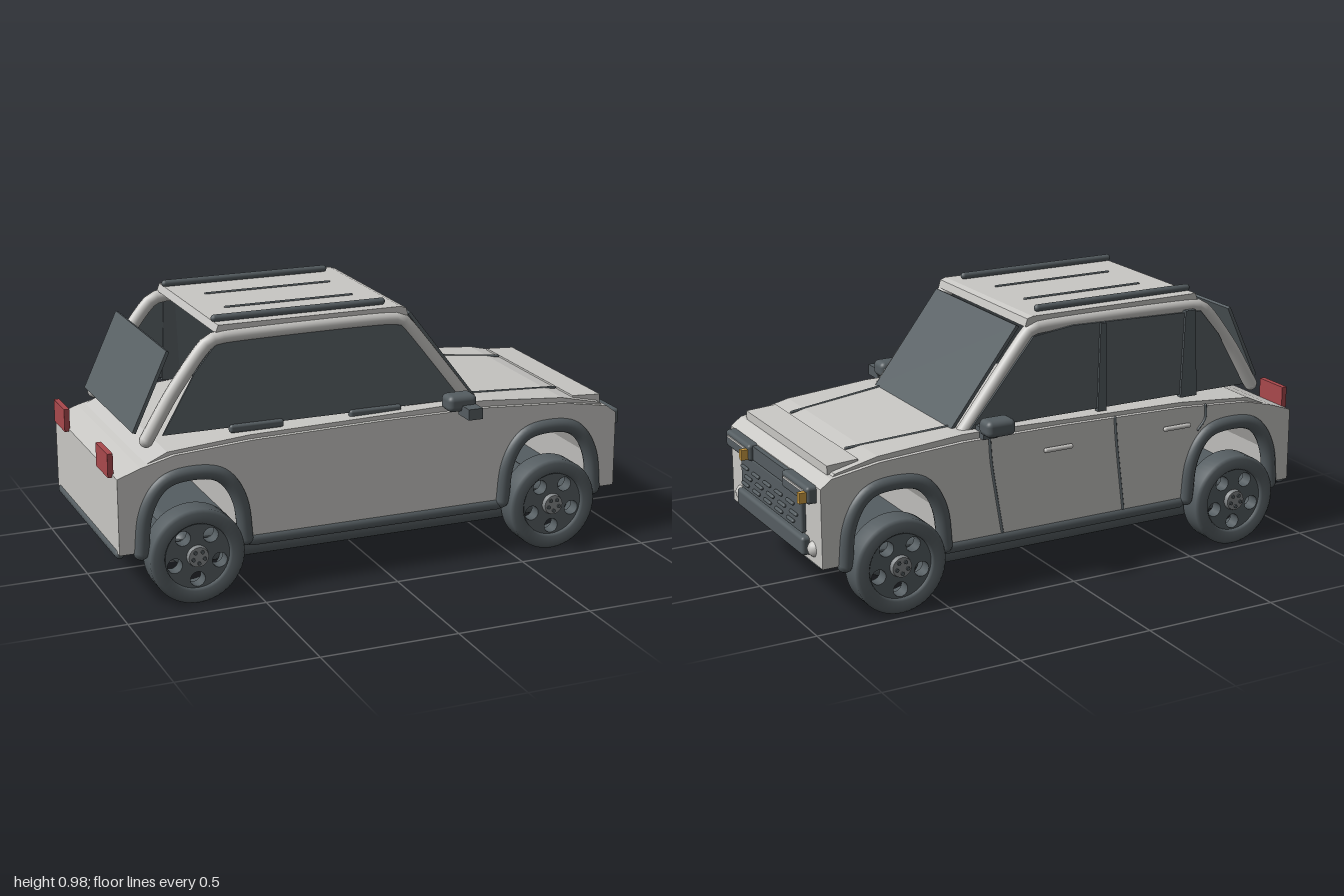
import * as THREE from 'three';
import { RoundedBoxGeometry } from 'three/addons/geometries/RoundedBoxGeometry.js';

const mat = (name, color, side = THREE.FrontSide) => {
  const m = new THREE.MeshStandardMaterial({ color, side });
  m.name = name;
  return m;
};

export function createModel() {
  const paint = mat('bodyPaint', 0xc8c7c4);
  const dark = mat('darkTrim', 0x555d61);
  const glass = mat('tintedGlass', 0x5a6266);
  const metal = mat('hubMetal', 0x85898b);
  const red = mat('tailRed', 0xa8484c);
  const amber = mat('amber', 0xcf9f45);

  const model = new THREE.Group();
  const car = new THREE.Group();
  car.name = 'car';
  car.position.z = -0.025;
  model.add(car);

  const V = (a) => new THREE.Vector3(...a);
  const add = (name, geo, m, p = [0, 0, 0], parent = car) => {
    const mesh = new THREE.Mesh(geo, m);
    mesh.name = name;
    mesh.position.set(...p);
    parent.add(mesh);
    return mesh;
  };
  // box given by its min and max on each axis, optionally rounded
  const box = (name, m, [x0, x1], [y0, y1], [z0, z1], r = 0) => {
    const s = [x1 - x0, y1 - y0, z1 - z0];
    const geo = r ? new RoundedBoxGeometry(...s, 3, r) : new THREE.BoxGeometry(...s);
    return add(name, geo, m, [(x0 + x1) / 2, (y0 + y1) / 2, (z0 + z1) / 2]);
  };
  // side profile pushed out across the car
  const slab = (name, m, pts, z0, z1) => {
    const shape = new THREE.Shape(pts.map((p) => new THREE.Vector2(...p)));
    return add(name, new THREE.ExtrudeGeometry(shape, { depth: z1 - z0, bevelEnabled: false }), m, [0, 0, z0]);
  };
  // straight rod with round ends
  const rod = (name, m, a, b, r) => {
    const d = V(b).sub(V(a));
    const mesh = add(name, new THREE.CapsuleGeometry(r, d.length(), 4, 12), m,
      V(a).add(V(b)).multiplyScalar(0.5).toArray());
    mesh.quaternion.setFromUnitVectors(new THREE.Vector3(0, 1, 0), d.normalize());
    return mesh;
  };
  // bent tube with ball ends
  const tube = (name, m, pts, r, tension = 0.5) => {
    const curve = new THREE.CatmullRomCurve3(pts.map(V), false, 'catmullrom', tension);
    add(name, new THREE.TubeGeometry(curve, 48, r, 12), m);
    for (const p of [pts[0], pts[pts.length - 1]]) add(name + 'End', new THREE.SphereGeometry(r, 12, 8), m, p);
  };

  const axles = [-0.716, 0.665];
  const arch = [[-0.19, 0.2], [-0.175, 0.33], [-0.13, 0.42], [-0.06, 0.46],
    [0.06, 0.46], [0.13, 0.42], [0.175, 0.33], [0.19, 0.2]];
  const archAt = (x) => arch.map(([a, b]) => [a + x, b]);

  // body shell with the wheel arches cut through
  slab('bodyShell', paint, [
    [-0.985, 0.2], ...archAt(axles[0]), ...archAt(axles[1]), [0.94, 0.2],
    [0.94, 0.485], [0.9, 0.515], [0.72, 0.545], [0.4, 0.565], [0, 0.565],
    [-0.5, 0.555], [-0.78, 0.535], [-0.9, 0.505], [-0.985, 0.475],
  ], -0.4, 0.4);
  slab('hoodAndBelt', paint, [
    [-0.9, 0.5], [0.9, 0.5], [0.88, 0.525], [0.72, 0.562], [0.4, 0.588], [0.3, 0.588],
    [0, 0.58], [-0.5, 0.57], [-0.8, 0.545],
  ], -0.383, 0.383);
  slab('hoodLip', paint, [[0.78, 0.5], [0.895, 0.51], [0.895, 0.548], [0.78, 0.555]], -0.355, 0.355);

  // underside
  box('chassis', dark, [-0.77, 0.73], [0.1, 0.22], [-0.345, 0.345], 0.04);
  box('underTray', dark, [-0.96, 0.92], [0.188, 0.203], [-0.345, 0.345]);

  // cabin: roof, glass
  slab('roof', paint, [[-0.6, 0.93], [0.12, 0.922], [0.112, 0.95], [0.09, 0.957], [-0.59, 0.957]], -0.33, 0.33);
  slab('windshield', glass, [[0.395, 0.575], [0.405, 0.582], [0.142, 0.925], [0.13, 0.92]], -0.305, 0.305);
  slab('rearWindow', glass, [[-0.897, 0.6], [-0.885, 0.595], [-0.757, 0.872], [-0.768, 0.877]], -0.3, 0.3);
  const sideGlass = [[-0.8, 0.59], [0.35, 0.59], [0.29, 0.66], [0.1, 0.89], [-0.06, 0.91], [-0.6, 0.895], [-0.68, 0.8]];
  slab('leftWindow', glass, sideGlass, 0.33, 0.338);
  slab('rightWindow', glass, sideGlass, -0.353, -0.345);
  for (const [x, w] of [[-0.18, 0.018], [-0.55, 0.035]]) {
    slab('windowPillar', dark, [[x - w, 0.58], [x + w, 0.58], [x + w * 0.6, 0.905], [x - w * 0.6, 0.905]], -0.362, -0.34);
  }
  for (const x of [-0.46, -0.01]) box('sillPad', dark, [x - 0.1, x + 0.1], [0.57, 0.6], [0.325, 0.35], 0.01);

  // parts that repeat on both sides
  for (const s of [-1, 1]) {
    tube('roofFrame', paint, [[-0.855, 0.575, s * 0.322], [-0.76, 0.73, s * 0.322], [-0.65, 0.875, s * 0.322],
      [-0.58, 0.912, s * 0.322], [-0.2, 0.918, s * 0.322], [0.06, 0.915, s * 0.322],
      [0.12, 0.885, s * 0.322], [0.365, 0.575, s * 0.322]], 0.025, 0.3);
    rod('roofRail', dark, [-0.585, 0.968, s * 0.275], [0.04, 0.968, s * 0.275], 0.013);
    rod('roofRib', dark, [-0.485, 0.958, s * 0.107], [-0.005, 0.958, s * 0.107], 0.005);
    rod('hoodSeam', dark, [0.4, 0.588, s * 0.275], [0.77, 0.556, s * 0.235], 0.005);
    rod('sideSkirt', dark, [-0.5, 0.188, s * 0.385], [0.46, 0.188, s * 0.385], 0.024);
    for (const x of axles) {
      tube('wheelArchTrim', dark, arch.map(([a, b]) => [x + a, b, s * 0.393]), 0.028);
    }
    box('taillight', red, [-1, -0.98], [0.465, 0.55], s > 0 ? [0.2, 0.342] : [-0.355, -0.213]);
    add('fogLamp', new THREE.SphereGeometry(0.03, 14, 10), paint, [0.93, 0.25, s * 0.325]);

    // mirrors, with their arms set to the same side
    const mz = s > 0 ? 0.382 : -0.46;
    box('mirror', dark, [0.225, 0.337], [0.58, 0.64], [mz, mz + 0.079], 0.02);
    box('mirrorArm', dark, [0.275, 0.33], [0.565, 0.605], [mz + 0.05, mz + 0.133]);
  }

  // right side doors: seams and handles
  const seam = (...pts) => tube('doorSeam', dark, pts.map(([x, y]) => [x, y, -0.4]), 0.005);
  seam([0.3, 0.56], [0.29, 0.45], [0.25, 0.21]);
  seam([-0.21, 0.56], [-0.22, 0.45], [-0.25, 0.21]);
  seam([-0.6, 0.55], [-0.6, 0.5], [-0.57, 0.46]);
  for (const x of [0.03, -0.47]) rod('doorHandle', paint, [x - 0.05, 0.488, -0.412], [x + 0.05, 0.488, -0.412], 0.009);

  // nose: grille, lamps and bumper
  box('grille', dark, [0.92, 0.958], [0.29, 0.43], [-0.27, 0.27], 0.008);
  box('lampBar', dark, [0.92, 0.958], [0.43, 0.482], [-0.16, 0.16]);
  [0.382, 0.35, 0.318].forEach((y, row) => {
    for (let i = 0; i < 5; i++) {
      const z = 0.205 - i * 0.102 - (row === 1 ? 0.028 : 0) + 0.014;
      rod('grilleBar', dark, [0.963, y, z - 0.024], [0.963, y, z + 0.024], 0.0065);
    }
  });
  for (const z of [0.148, -0.367]) {
    box('headlight', dark, [0.93, 0.975], [0.425, 0.487], [z, z + 0.22], 0.012);
    box('headlightStrip', paint, [0.97, 0.979], [0.464, 0.472], [z + 0.026, z + 0.195]);
    box('turnSignal', amber, [0.965, 1], [0.432, 0.47], [z + 0.007, z + 0.026]);
  }
  box('bumperBlock', dark, [0.92, 0.968], [0.217, 0.284], [-0.296, 0.296], 0.012);
  rod('frontBumper', dark, [0.92, 0.202, -0.355], [0.92, 0.202, 0.355], 0.019);
  rod('rearBumper', dark, [-0.975, 0.195, -0.365], [-0.975, 0.195, 0.365], 0.018);

  // wheels
  const tyreGeo = new THREE.LatheGeometry([[0.118, -0.05], [0.16, -0.05], [0.172, -0.04], [0.172, 0.04],
    [0.16, 0.05], [0.125, 0.05], [0.118, 0.04], [0.118, -0.05]].map((p) => new THREE.Vector2(...p)), 48);
  tyreGeo.rotateX(Math.PI / 2);
  const rimShape = new THREE.Shape().absarc(0, 0, 0.12, 0, Math.PI * 2);
  const spoke = (i) => -Math.PI / 2 + (i * Math.PI * 2) / 5;
  for (let i = 0; i < 5; i++) {
    rimShape.holes.push(new THREE.Path().absarc(0.086 * Math.cos(spoke(i)), 0.086 * Math.sin(spoke(i)), 0.027, 0, Math.PI * 2, true));
  }
  const rimGeo = new THREE.ExtrudeGeometry(rimShape, { depth: 0.05, bevelEnabled: false, curveSegments: 24 });
  const hubGeo = new THREE.CylinderGeometry(0.036, 0.04, 0.02, 24).rotateX(Math.PI / 2);
  const boltGeo = new THREE.CylinderGeometry(0.007, 0.007, 0.012, 8).rotateX(Math.PI / 2);
  for (const x of axles) for (const s of [-1, 1]) {
    const wheel = new THREE.Group();
    wheel.name = 'wheel';
    wheel.position.set(x, 0.172, s * 0.395);
    if (s < 0) wheel.rotation.y = Math.PI;
    car.add(wheel);
    add('tyre', tyreGeo, dark, [0, 0, 0], wheel);
    add('rim', rimGeo, dark, [0, 0, -0.015], wheel);
    add('hub', hubGeo, metal, [0, 0, 0.042], wheel);
    for (let i = 0; i < 5; i++) {
      add('wheelBolt', boltGeo, dark, [0.022 * Math.cos(spoke(i)), 0.022 * Math.sin(spoke(i)), 0.051], wheel);
    }
  }
  return model;
}
